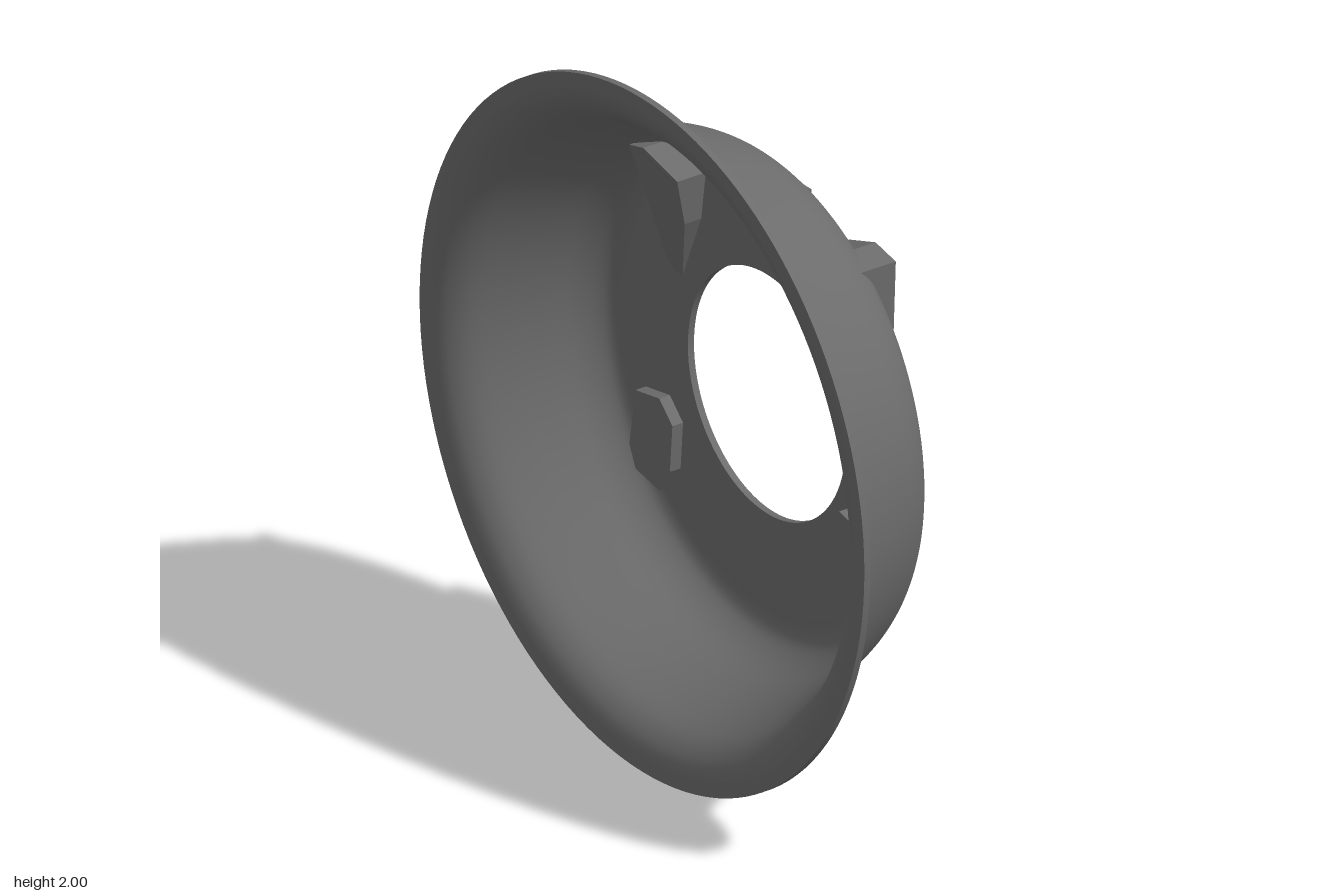
import * as THREE from 'three';

const WALL = 0.02;    // sheet thickness of the dish
const BACK = -0.24;   // rear face of every lug

// Surface of revolution about z from [radius, z] pairs
function ring(name, points, material) {
  const geo = new THREE.LatheGeometry(points, 128);
  geo.rotateX(Math.PI / 2);
  const mesh = new THREE.Mesh(geo, material);
  mesh.name = name;
  return mesh;
}

// Polygonal block from BACK to a front depth given as a function of y
function lug(name, outline, frontAt, material) {
  const shape = new THREE.Shape(outline.map(([x, y]) => new THREE.Vector2(x, y - 1)));
  const geo = new THREE.ExtrudeGeometry(shape, { depth: 1, bevelEnabled: false });
  const p = geo.attributes.position;
  for (let i = 0; i < p.count; i++) {
    p.setZ(i, p.getZ(i) > 0.5 ? frontAt(p.getY(i)) : BACK);
  }
  geo.computeVertexNormals();
  const mesh = new THREE.Mesh(geo, material);
  mesh.name = name;
  return mesh;
}

export function createModel() {
  const group = new THREE.Group();
  group.name = 'dishedCover';
  const grey = new THREE.MeshStandardMaterial({ color: 0x6c6c6c });
  grey.name = 'dark grey';
  const V = (r, z) => new THREE.Vector2(r, z);

  // S-shaped wall section, from the flat floor out to the rim
  const wall = new THREE.SplineCurve([
    V(0.62, -0.19), V(0.665, -0.188), V(0.715, -0.165), V(0.76, -0.105),
    V(0.80, -0.01), V(0.84, 0.085), V(0.88, 0.165), V(0.92, 0.204), V(0.96, 0.219),
  ]).getPoints(40);
  const outer = [V(0.355, -0.19), V(0.5, -0.19), ...wall, V(1, 0.22)];

  // Inner skin: the outer section offset along its normal
  const inner = outer.map((p, i) => {
    const a = outer[Math.max(i - 1, 0)];
    const b = outer[Math.min(i + 1, outer.length - 1)];
    const t = b.clone().sub(a).normalize();
    return V(p.x - t.y * WALL, p.y + t.x * WALL);
  });
  inner[0].set(0.355, -0.17);
  inner[inner.length - 1].set(1, 0.24);

  const dish = new THREE.Group();
  dish.name = 'dish';
  dish.add(
    ring('outerSkin', outer, grey),
    ring('rimEdge', [V(1, 0.22), V(1, 0.24)], grey),
    ring('innerSkin', inner.slice().reverse(), grey),
    ring('holeEdge', [V(0.355, -0.17), V(0.355, -0.19)], grey),
  );
  group.add(dish);

  // Lugs through the floor: tall upper wedges, plain blocks elsewhere
  const wedge = (y) => -0.175 + (y - 0.18) * 0.27;
  const flat = (z) => () => z;
  group.add(
    lug('upperRightLug', [[-0.48, 1.575], [-0.41, 1.595], [-0.275, 1.545],
      [-0.295, 1.40], [-0.388, 1.175], [-0.44, 1.23]], wedge, grey),
    lug('upperLeftLug', [[0.275, 1.55], [0.393, 1.59], [0.484, 1.57],
      [0.468, 1.225], [0.377, 1.165], [0.286, 1.40]], wedge, grey),
    lug('topLug', [[-0.077, 1.63], [0.105, 1.63], [0.088, 1.39],
      [-0.056, 1.39]], flat(-0.14), grey),
    lug('lowerRightLug', [[-0.543, 0.80], [-0.436, 0.818], [-0.377, 0.76], [-0.388, 0.62],
      [-0.436, 0.545], [-0.543, 0.567], [-0.57, 0.63]], flat(-0.135), grey),
    lug('lowerLeftLug', [[0.372, 0.813], [0.49, 0.786], [0.52, 0.636], [0.49, 0.545],
      [0.393, 0.535], [0.345, 0.615], [0.345, 0.75]], flat(-0.135), grey),
  );

  // Stand the rim on the ground
  group.children.forEach((c) => { c.position.y = 1; });
  return group;
}
